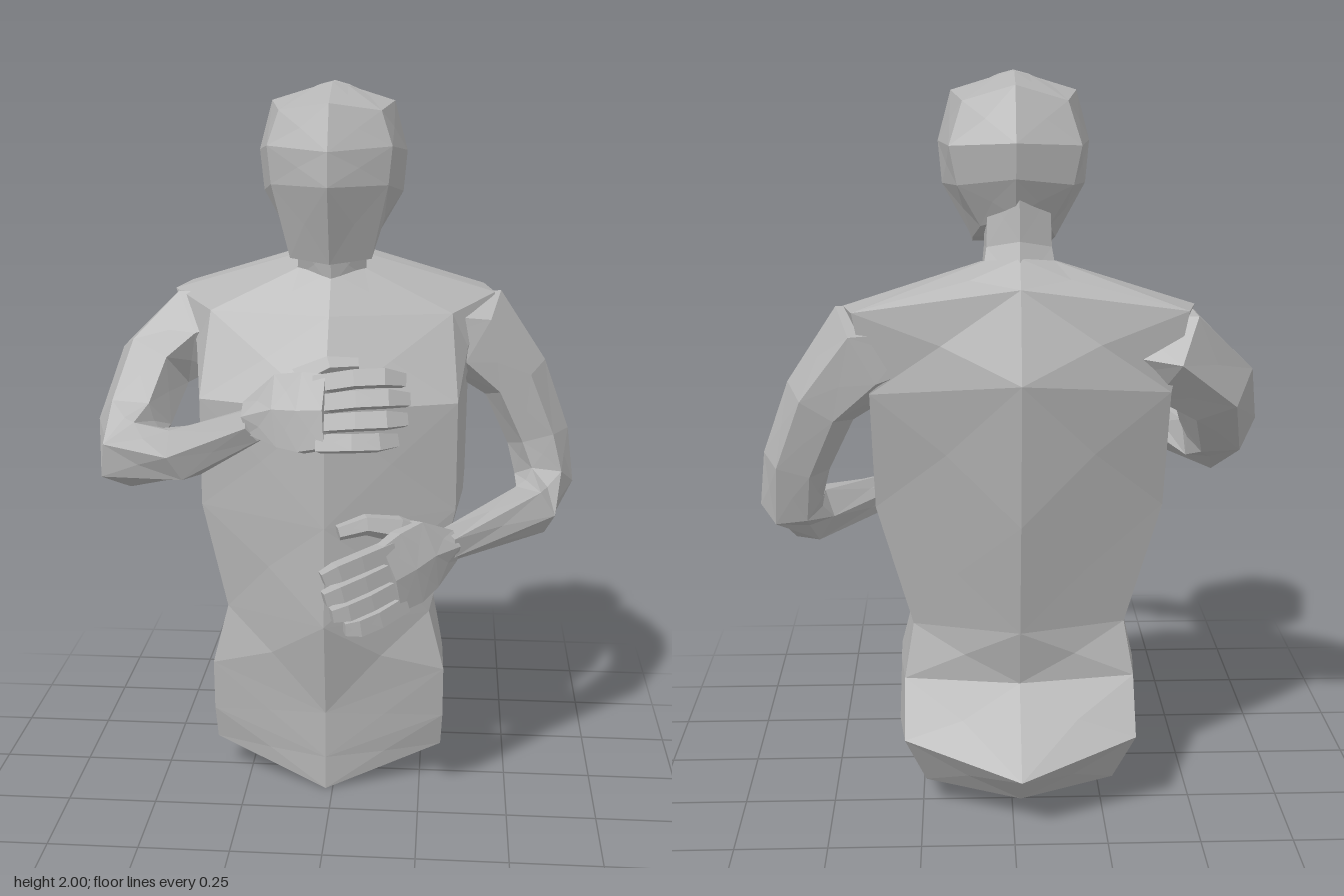
import * as THREE from 'three';

const V = (x, y, z) => new THREE.Vector3(x, y, z);
const grey = new THREE.MeshStandardMaterial({ color: 0xb4b4b4, flatShading: true });
grey.name = 'plain grey';

// Skin a stack of equal-length rings and close both ends
function loft(name, rings) {
  const pos = [];
  const tri = (...p) => p.forEach(v => pos.push(v.x, v.y, v.z));
  const mid = r => r.reduce((s, p) => s.add(p), V(0, 0, 0)).divideScalar(r.length);
  const n = rings[0].length;
  const first = mid(rings[0]), end = rings[rings.length - 1], last = mid(end);
  for (let j = 0; j < n; j++) {
    const k = (j + 1) % n;
    for (let i = 0; i < rings.length - 1; i++) {
      // split each quad evenly around its middle
      const q = [rings[i][j], rings[i][k], rings[i + 1][k], rings[i + 1][j]];
      const c = mid(q);
      q.forEach((p, s) => tri(p, q[(s + 1) % 4], c));
    }
    tri(first, rings[0][k], rings[0][j]);
    tri(last, end[j], end[k]);
  }
  const g = new THREE.BufferGeometry();
  g.setAttribute('position', new THREE.Float32BufferAttribute(pos, 3));
  g.computeVertexNormals();
  const m = new THREE.Mesh(g, grey);
  m.name = name;
  return m;
}

// Half ring from front centre to back centre, mirrored across x
function mirrorRing(half) {
  const right = half.map(p => V(...p));
  const left = half.slice(1, -1).reverse().map(p => V(-p[0], p[1], p[2]));
  return [...right, ...left];
}

// Tube through stations [centre, radius along ref, radius across]
function limb(name, stations, ref, sides = 6) {
  const n = stations.length;
  return loft(name, stations.map(([c, ru, rv], i) => {
    const dir = (a, b) => b.clone().sub(a).normalize();
    const t = V(0, 0, 0);
    if (i > 0) t.add(dir(stations[i - 1][0], c));
    if (i < n - 1) t.add(dir(c, stations[i + 1][0]));
    t.normalize();
    const u = ref.clone().addScaledVector(t, -ref.dot(t)).normalize();
    const v = t.clone().cross(u);
    return Array.from({ length: sides }, (_, k) => {
      const a = (k + 0.5) * 2 * Math.PI / sides;
      return c.clone().addScaledVector(u, Math.cos(a) * ru).addScaledVector(v, Math.sin(a) * rv);
    });
  }));
}

// Palm, four curled fingers and a thumb
function hand(name, wrist, along, upHint, palmSide, curl) {
  const g = new THREE.Group();
  g.name = name;
  const d = along.normalize();
  const up = upHint.addScaledVector(d, -upHint.dot(d)).normalize();
  const nrm = d.clone().cross(up).multiplyScalar(palmSide);
  const at = (a, b, c) => wrist.clone().addScaledVector(d, a).addScaledVector(up, b).addScaledVector(nrm, c);
  g.add(limb('palm', [
    [at(-0.02, 0, 0), 0.05, 0.045], [at(0.07, 0.01, 0), 0.11, 0.045],
    [at(0.14, 0, 0), 0.12, 0.04], [at(0.21, -0.005, 0), 0.11, 0.032],
  ], up));
  for (let i = 0; i < 4; i++) {
    const b = 0.068 - i * 0.051, len = [0.19, 0.2, 0.19, 0.16][i], r = 0.031;
    g.add(limb('finger', [
      [at(0.18, b, 0), r, r], [at(0.2 + len * 0.45, b * 1.08, curl * 0.15), r, r],
      [at(0.2 + len * 0.8, b * 1.08, curl * 0.5), r, r], [at(0.2 + len, b, curl), r * 0.75, r * 0.75],
    ], up, 4));
  }
  g.add(limb('thumb', [
    [at(0.04, 0.03, 0.01), 0.045, 0.038], [at(0.11, 0.095, 0.04), 0.038, 0.035],
    [at(0.18, 0.13, 0.08), 0.03, 0.03], [at(0.25, 0.13, 0.115), 0.022, 0.022],
  ], up, 5));
  return g;
}

export function createModel() {
  const model = new THREE.Group();
  model.name = 'bust';

  // Torso rings: front ridge, front corner, flank, back corner, spine
  const torso = loft('torso', [
    [[0, 0, 0.135], [0.33, 0.1, 0.02], [0.3, 0.09, -0.13], [0.26, 0.08, -0.28], [0, 0.07, -0.38]],
    [[0, 0.1, 0.135], [0.335, 0.2, 0.04], [0.335, 0.21, -0.16], [0.315, 0.24, -0.36], [0, 0.165, -0.47]],
    [[0, 0.24, 0.135], [0.335, 0.35, 0.05], [0.33, 0.365, -0.1], [0.315, 0.38, -0.26], [0, 0.37, -0.285]],
    [[0, 0.525, 0.19], [0.29, 0.525, 0.04], [0.295, 0.525, -0.09], [0.29, 0.525, -0.22], [0, 0.53, -0.315]],
    [[0, 0.81, 0.175], [0.36, 0.83, 0.035], [0.38, 0.85, -0.1], [0.385, 0.87, -0.24], [0, 0.85, -0.37]],
    [[0, 1.14, 0.16], [0.36, 1.14, 0.04], [0.38, 1.17, -0.13], [0.39, 1.2, -0.315], [0, 1.24, -0.41]],
    [[0, 1.37, 0], [0.34, 1.37, -0.07], [0.46, 1.41, -0.2], [0.43, 1.415, -0.325], [0, 1.47, -0.32]],
    [[0, 1.48, -0.08], [0.09, 1.49, -0.11], [0.1, 1.52, -0.17], [0.09, 1.53, -0.23], [0, 1.54, -0.255]],
  ].map(mirrorRing));
  torso.position.x = -0.02;
  model.add(torso);

  // Neck leaning forward
  const neck = loft('neck', [
    [[0, 1.44, -0.07], [0.1, 1.46, -0.12], [0.1, 1.47, -0.24], [0, 1.47, -0.3]],
    [[0, 1.55, -0.06], [0.09, 1.55, -0.09], [0.085, 1.56, -0.19], [0, 1.58, -0.235]],
    [[0, 1.68, -0.02], [0.09, 1.68, -0.06], [0.08, 1.7, -0.17], [0, 1.7, -0.22]],
  ].map(mirrorRing));
  neck.position.x = -0.02;
  model.add(neck);

  // Head from jaw to crown
  const head = loft('head', [
    [[0, 1.53, 0.11], [0.11, 1.54, 0.06], [0.11, 1.57, -0.08], [0.09, 1.61, -0.16], [0, 1.64, -0.205]],
    [[0, 1.74, 0.185], [0.155, 1.74, 0.1], [0.19, 1.71, -0.05], [0.15, 1.72, -0.2], [0, 1.74, -0.25]],
    [[0, 1.83, 0.175], [0.165, 1.84, 0.1], [0.2, 1.82, -0.04], [0.17, 1.82, -0.205], [0, 1.83, -0.26]],
    [[0, 1.95, 0.12], [0.135, 1.93, 0.08], [0.165, 1.95, -0.04], [0.135, 1.93, -0.175], [0, 1.97, -0.19]],
    [[0, 2, -0.01], [0.04, 1.99, -0.02], [0.05, 1.985, -0.05], [0.04, 1.99, -0.08], [0, 2, -0.1]],
  ].map(mirrorRing));
  head.position.x = -0.01;
  model.add(head);

  // Left arm, forearm held low
  model.add(limb('leftArm', [
    [V(0.2, 1.32, -0.2), 0.1, 0.08], [V(0.39, 1.29, -0.215), 0.14, 0.14],
    [V(0.505, 1.16, -0.215), 0.125, 0.1], [V(0.575, 0.99, -0.2), 0.095, 0.09],
    [V(0.595, 0.87, -0.175), 0.09, 0.085], [V(0.555, 0.8, -0.08), 0.08, 0.08],
    [V(0.31, 0.785, 0.21), 0.045, 0.05],
  ], V(0, 0, 1)));
  model.add(hand('leftHand', V(0.31, 0.78, 0.21), V(-0.2, -0.05, 0.2), V(0, 1, -0.2), 1, 0.035));

  // Right arm, forearm raised across the chest
  model.add(limb('rightArm', [
    [V(-0.24, 1.32, -0.2), 0.1, 0.08], [V(-0.42, 1.29, -0.225), 0.135, 0.145],
    [V(-0.54, 1.19, -0.17), 0.125, 0.115], [V(-0.58, 1.05, -0.04), 0.11, 0.105],
    [V(-0.57, 0.98, 0.065), 0.1, 0.105], [V(-0.4, 1.02, 0.17), 0.08, 0.08],
    [V(-0.19, 1.135, 0.28), 0.05, 0.05],
  ], V(0, 0.6, 0.8)));
  model.add(hand('rightHand', V(-0.19, 1.15, 0.28), V(0.2, 0.045, 0.07), V(0, 1, -0.4), -1, 0.085));

  return model;
}
